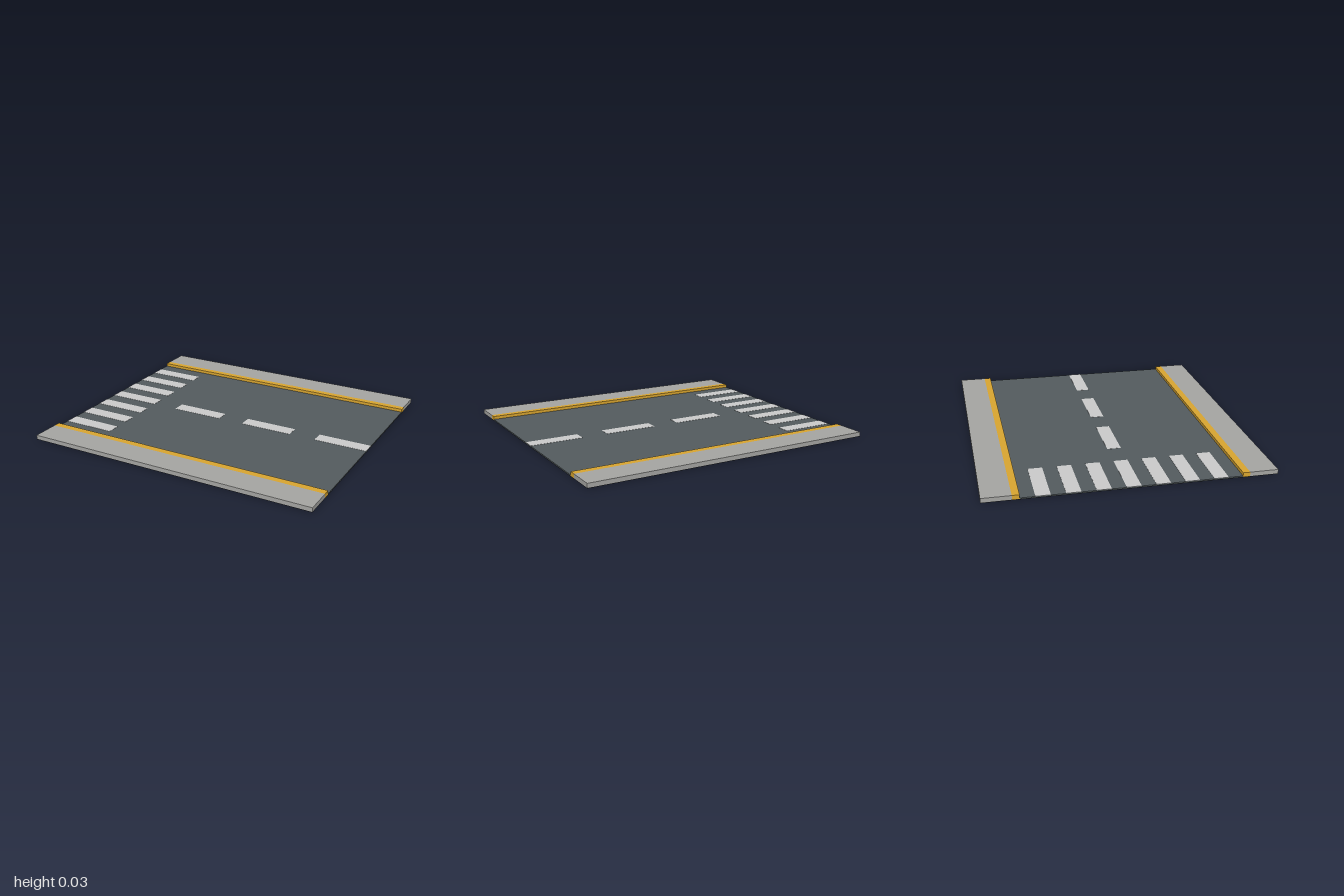
import * as THREE from 'three';

const U = 1 / 11; // road grid module
const BASE = 0.002, ROAD = 0.009, WALK = 0.03, PAINT = 0.0012;

const material = (color) => new THREE.MeshStandardMaterial({ color });

export function createModel() {
  const group = new THREE.Group();
  const dark = material(0x2e2f30);
  const asphalt = material(0x545c5f);
  const concrete = material(0xa6a6a3);
  const yellow = material(0xdaa630);
  const white = material(0xcccccc);

  // Box given by its extents; x and z in grid modules, y in units
  function slab(name, mat, x0, x1, y0, y1, z0, z1) {
    const geometry = new THREE.BoxGeometry((x1 - x0) * U, y1 - y0, (z1 - z0) * U);
    const mesh = new THREE.Mesh(geometry, mat);
    mesh.position.set((x0 + x1) / 2 * U, (y0 + y1) / 2, (z0 + z1) / 2 * U);
    mesh.name = name;
    group.add(mesh);
  }

  // Underside and road surface
  slab('base', dark, -11, 11, 0, BASE, -10, 10);
  slab('roadSurface', asphalt, -11, 11, BASE, ROAD, -7.5, 7.5);

  // Pavement and painted kerb on both sides
  slab('backSidewalk', concrete, -11, 11, BASE, WALK, -10, -8);
  slab('backCurb', yellow, -11, 11, BASE, WALK, -8, -7.5);
  slab('frontSidewalk', concrete, -11, 11, BASE, WALK, 8, 10);
  slab('frontCurb', yellow, -11, 11, BASE, WALK, 7.5, 8);

  // Crosswalk stripes
  for (let i = -3; i <= 3; i++) {
    slab('crosswalkStripe', white, -11, -7, ROAD, ROAD + PAINT, i * 2 - 0.5, i * 2 + 0.5);
  }

  // Dashed centre line
  for (const x of [-5, 1, 7]) {
    slab('centerDash', white, x, x + 4, ROAD, ROAD + PAINT, -0.5, 0.5);
  }

  return group;
}
